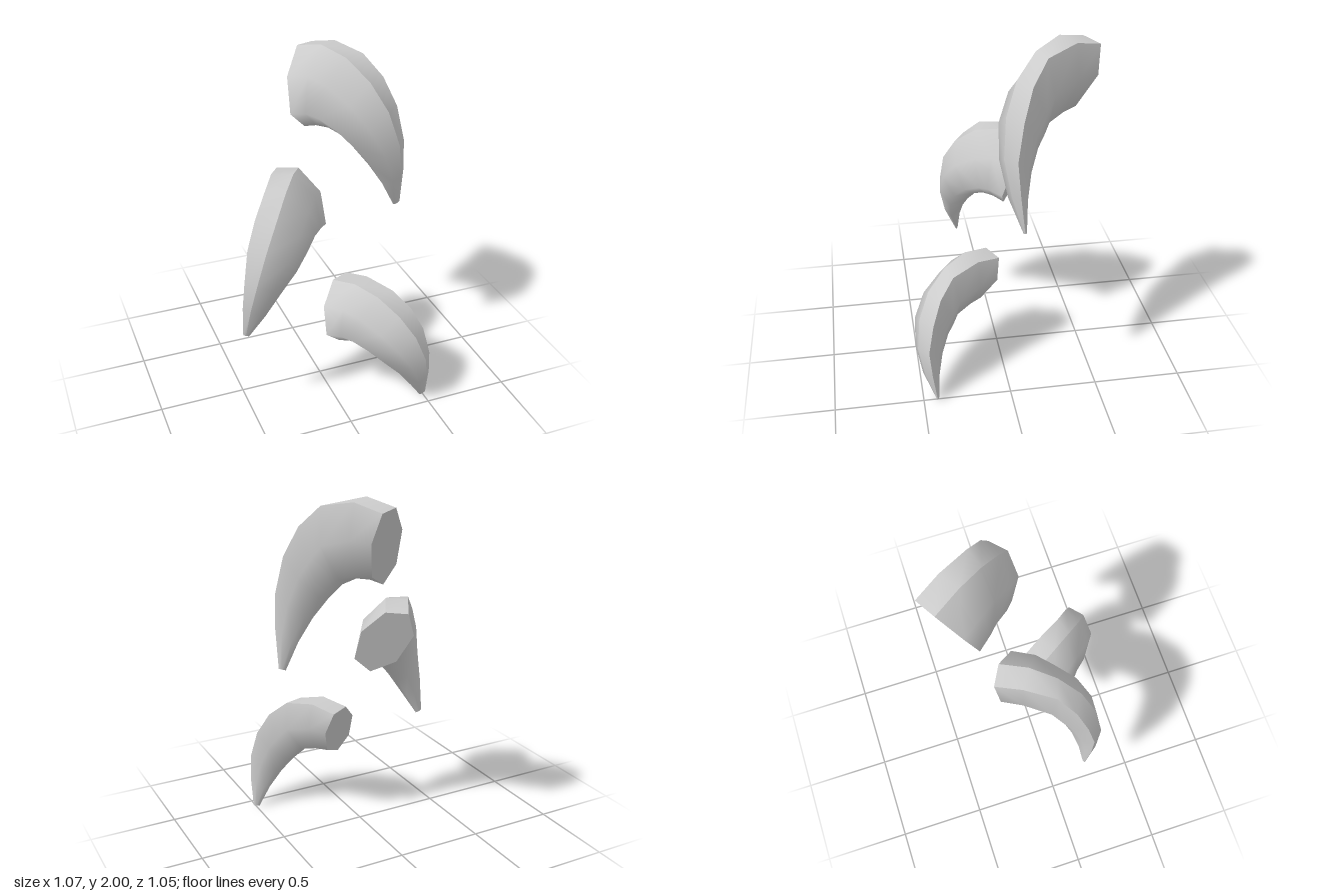
import * as THREE from 'three';

// Cross-section: [across, depth]; the first two corners form the flat outer ridge
const SECTION = [[-0.5, 0], [0.5, 0], [1.15, 0.34], [0.93, 0.8], [0, 1], [-0.93, 0.8], [-1.15, 0.34]];

// Guide lines from base to tip: both ridge edges and the inner keel
const RIDGE_A = [[0.155, 1.95, -0.52], [0.235, 1.99, -0.375], [0.335, 1.955, -0.205], [0.42, 1.84, -0.115],
  [0.485, 1.68, -0.06], [0.52, 1.48, -0.025], [0.533, 1.29, -0.04], [0.53, 1.07, -0.065]];
const RIDGE_B = [[0.04, 1.96, -0.455], [0.125, 2.0, -0.305], [0.22, 1.955, -0.165], [0.315, 1.84, -0.05],
  [0.4, 1.68, 0.018], [0.465, 1.48, 0.038], [0.5, 1.28, 0.003], [0.515, 1.063, -0.06]];
const KEEL = [[0.025, 1.53, -0.305], [0.075, 1.55, -0.25], [0.125, 1.55, -0.195], [0.185, 1.515, -0.15],
  [0.25, 1.44, -0.115], [0.33, 1.335, -0.085], [0.415, 1.205, -0.073], [0.5, 1.06, -0.075]];

// Rear flank (last two corners) at each station: width factor and extra depth
const FLANK_WIDTH = [1, 1.02, 1.15, 1, 0.8, 0.8, 0.7, 0.8];
const FLANK_DROP = [0, 0.07, 0.15, 0.17, 0.1, 0.05, 0, 0];

// Place the cross-section on the guide lines at every station
function makeRings(scale, offset) {
  return KEEL.map((k, i) => {
    const a = new THREE.Vector3(...RIDGE_A[i]);
    const b = new THREE.Vector3(...RIDGE_B[i]);
    const origin = a.clone().add(b).multiplyScalar(0.5);
    const across = b.clone().sub(a);
    const depth = new THREE.Vector3(...k).sub(origin);
    return SECTION.map(([w, d], j) => {
      const flank = j >= 5;
      return origin.clone()
        .addScaledVector(across, flank ? w * FLANK_WIDTH[i] : w)
        .addScaledVector(depth, flank ? d + FLANK_DROP[i] : d)
        .multiply(scale).add(offset);
    });
  });
}

function build(points, index, flip) {
  if (flip) index.reverse();
  const geometry = new THREE.BufferGeometry().setFromPoints(points);
  geometry.setIndex(index);
  geometry.computeVertexNormals();
  return geometry;
}

// Smooth skin over the chosen corners of all rings
function skin(rings, corners, flip) {
  const n = corners.length, index = [];
  const points = rings.flatMap((ring) => corners.map((c) => ring[c]));
  for (let i = 0; i < rings.length - 1; i++) {
    for (let j = 0; j < n - 1; j++) {
      const a = i * n + j, c = a + n;
      index.push(a, a + 1, c, a + 1, c + 1, c);
    }
  }
  return build(points, index, flip);
}

// Flat end face as a fan
function cap(ring, flip) {
  const index = [];
  for (let j = 1; j < ring.length - 1; j++) index.push(0, j, j + 1);
  return build(ring, index, flip);
}

function makeClaw(name, scale, offset) {
  const s = new THREE.Vector3(...scale);
  const rings = makeRings(s, new THREE.Vector3(...offset));
  const mirrored = s.x < 0;
  const material = new THREE.MeshStandardMaterial({ color: 0xcccccc });
  const claw = new THREE.Group();
  claw.name = name;
  const add = (part, geometry) => {
    const mesh = new THREE.Mesh(geometry, material);
    mesh.name = part;
    claw.add(mesh);
  };
  add('outerRidge', skin(rings, [0, 1], mirrored));
  add('body', skin(rings, [1, 2, 3, 4, 5, 6, 0], mirrored));
  add('baseFace', cap(rings[0], !mirrored));
  add('tipFace', cap(rings[rings.length - 1], mirrored));
  return claw;
}

export function createModel() {
  const model = new THREE.Group();
  model.name = 'claws';
  model.add(
    makeClaw('upperClaw', [1, 1, 1], [0, 0, 0]),
    makeClaw('middleClaw', [-0.968, 0.894, 0.946], [-0.018, -0.418, 0.242]),
    makeClaw('lowerClaw', [0.943, 0.78, 0.902], [0.017, -0.82, 0.482]),
  );
  return model;
}
